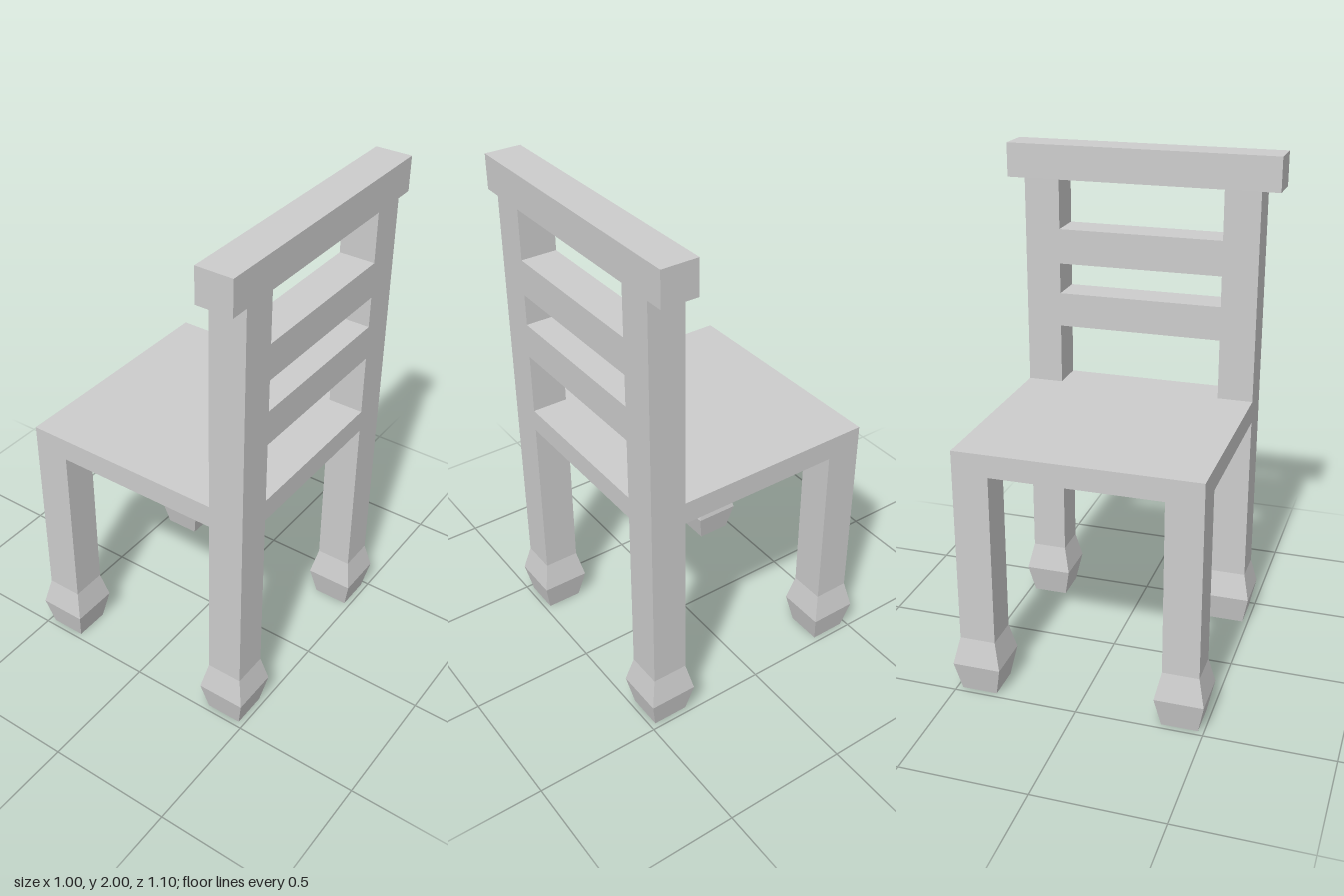
import * as THREE from 'three';

export function createModel() {
  const model = new THREE.Group();
  model.name = 'chair';
  const wood = new THREE.MeshStandardMaterial({ color: 0xcccccc });
  wood.name = 'light grey';

  const half = 0.477;          // half width of seat
  const post = 0.143;          // leg and backrest thickness
  const centre = half - post / 2;
  const footTop = 0.23, seatBottom = 0.93, seatTop = 1.02, railBottom = 1.865;

  // Box spanning y0..y1, centred at (x, z)
  function addBox(name, x, z, width, depth, y0, y1) {
    const mesh = new THREE.Mesh(new THREE.BoxGeometry(width, y1 - y0, depth), wood);
    mesh.name = name;
    mesh.position.set(x, (y0 + y1) / 2, z);
    model.add(mesh);
  }

  // Square foot that bulges at mid height, with flat faces
  const r = Math.SQRT2;
  const profile = [[0, 0], [post / 2 * r, 0], [0.096 * r, 0.12], [post / 2 * r, footTop]]
    .map(([x, y]) => new THREE.Vector2(x, y));
  const footGeometry = new THREE.LatheGeometry(profile, 4).rotateY(Math.PI / 4).toNonIndexed();
  footGeometry.computeVertexNormals();

  // Seat slab
  addBox('seat', 0, 0, half * 2, half * 2, seatBottom, seatTop);

  // Legs and feet
  for (const x of [-centre, centre]) {
    for (const z of [-centre, centre]) {
      addBox('leg', x, z, post, post, footTop, seatBottom);
      const foot = new THREE.Mesh(footGeometry, wood);
      foot.name = 'foot';
      foot.position.set(x, 0, z);
      model.add(foot);
    }
  }

  // Backrest on the +x side: posts, slats and top rail
  for (const z of [-centre, centre]) {
    addBox('backPost', centre, z, post, post, seatTop, railBottom);
  }
  const gap = 2 * (half - post);
  for (const [y0, y1] of [[1.265, 1.403], [1.527, 1.668]]) {
    addBox('backSlat', centre, 0, post, gap, y0, y1);
  }
  addBox('topRail', centre, 0, post, 1.1, railBottom, 2);

  return model;
}
